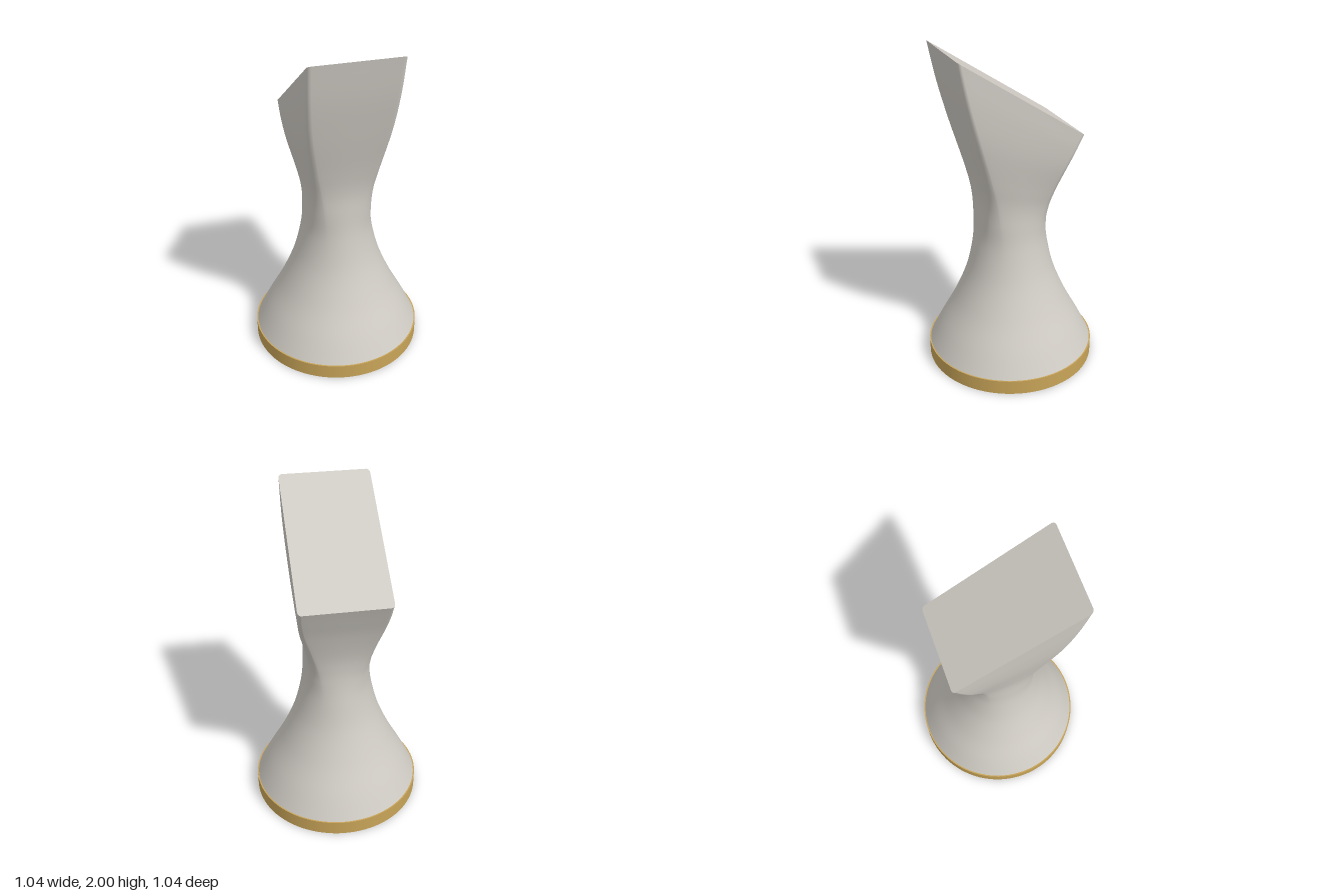
import * as THREE from 'three';

// Sections: [centre height, tilt, half width, front z, back z, squareness]
const SECTIONS = [
  [0.09, 0, 0.514, 0.514, -0.514, 0],
  [0.22, 0, 0.448, 0.448, -0.448, 0],
  [0.4, 0, 0.352, 0.352, -0.352, 0],
  [0.6, 0, 0.268, 0.272, -0.27, 0],
  [0.8, 0.03, 0.217, 0.228, -0.225, 0.05],
  [0.95, 0.12, 0.201, 0.215, -0.206, 0.25],
  [1.07, 0.22, 0.2, 0.214, -0.205, 0.5],
  [1.2, 0.32, 0.218, 0.242, -0.22, 0.7],
  [1.4, 0.45, 0.25, 0.307, -0.263, 0.88],
  [1.57, 0.56, 0.264, 0.362, -0.308, 0.96],
  [1.733, 0.66, 0.268, 0.405, -0.352, 1],
];
const Q = 24; // points per quarter of a section
const N = Q * 4;
const ROWS = 70;
const CORNER = 0.022;

// One quarter of a rounded rectangle, t from 0 (side) to 1 (end)
function rectQuarter(t, hx, hz) {
  if (t < 1 / 3) return [hx, (hz - CORNER) * t * 3];
  if (t > 2 / 3) return [(hx - CORNER) * (1 - t) * 3, hz];
  const a = (t * 3 - 1) * Math.PI / 2;
  return [hx - CORNER + CORNER * Math.cos(a), hz - CORNER + CORNER * Math.sin(a)];
}

// Ring of points blending an ellipse into a tilted rounded rectangle
function ring(y, tilt, hx, zf, zb, square) {
  const hz = (zf - zb) / 2, cz = (zf + zb) / 2;
  const points = [];
  for (let k = 0; k < N; k++) {
    const a = (k / N) * Math.PI * 2;
    const quarter = Math.floor(k / Q), f = (k % Q) / Q;
    const [rx, rz] = rectQuarter(quarter % 2 ? 1 - f : f, hx, hz);
    const sx = quarter === 1 || quarter === 2 ? -1 : 1;
    const sz = quarter < 2 ? 1 : -1;
    const x = THREE.MathUtils.lerp(hx * Math.cos(a), sx * rx, square);
    const z = cz + THREE.MathUtils.lerp(hz * Math.sin(a), sz * rz, square);
    points.push(x, y + tilt * z, z);
  }
  return points;
}

function makeGeometry(positions, index) {
  const g = new THREE.BufferGeometry();
  g.setAttribute('position', new THREE.Float32BufferAttribute(positions, 3));
  g.setIndex(index);
  g.computeVertexNormals();
  return g;
}

export function createModel() {
  const group = new THREE.Group();
  const stone = new THREE.MeshStandardMaterial({ color: 0xcfcbc4 });
  stone.name = 'warm grey';
  const gold = new THREE.MeshStandardMaterial({ color: 0xc8a458 });
  gold.name = 'gold';
  const add = (name, geometry, material) => {
    const mesh = new THREE.Mesh(geometry, material);
    mesh.name = name;
    group.add(mesh);
    return mesh;
  };

  // Round base plate
  add('basePlate', new THREE.CylinderGeometry(0.522, 0.522, 0.09, 96), gold).position.y = 0.045;

  // Body lofted smoothly through the sections
  const lower = new THREE.CatmullRomCurve3(
    SECTIONS.map((s) => new THREE.Vector3(s[0], s[1], s[2])), false, 'catmullrom');
  const upper = new THREE.CatmullRomCurve3(
    SECTIONS.map((s) => new THREE.Vector3(s[3], s[4], s[5])), false, 'catmullrom');
  const positions = [], index = [];
  let top;
  for (let j = 0; j <= ROWS; j++) {
    const a = lower.getPoint(j / ROWS), b = upper.getPoint(j / ROWS);
    top = ring(a.x, a.y, a.z, b.x, b.y, THREE.MathUtils.clamp(b.z, 0, 1));
    positions.push(...top);
    if (j === ROWS) break;
    for (let k = 0; k < N; k++) {
      const p = j * N + k, q = j * N + (k + 1) % N;
      index.push(p, p + N, q, q, p + N, q + N);
    }
  }
  add('body', makeGeometry(positions, index), stone);

  // Flat slanted top face
  const last = SECTIONS[SECTIONS.length - 1];
  const cz = (last[3] + last[4]) / 2;
  const fan = [];
  for (let k = 0; k < N; k++) fan.push(N, (k + 1) % N, k);
  add('slantedTop', makeGeometry([...top, 0, last[0] + last[1] * cz, cz], fan), stone);

  return group;
}
